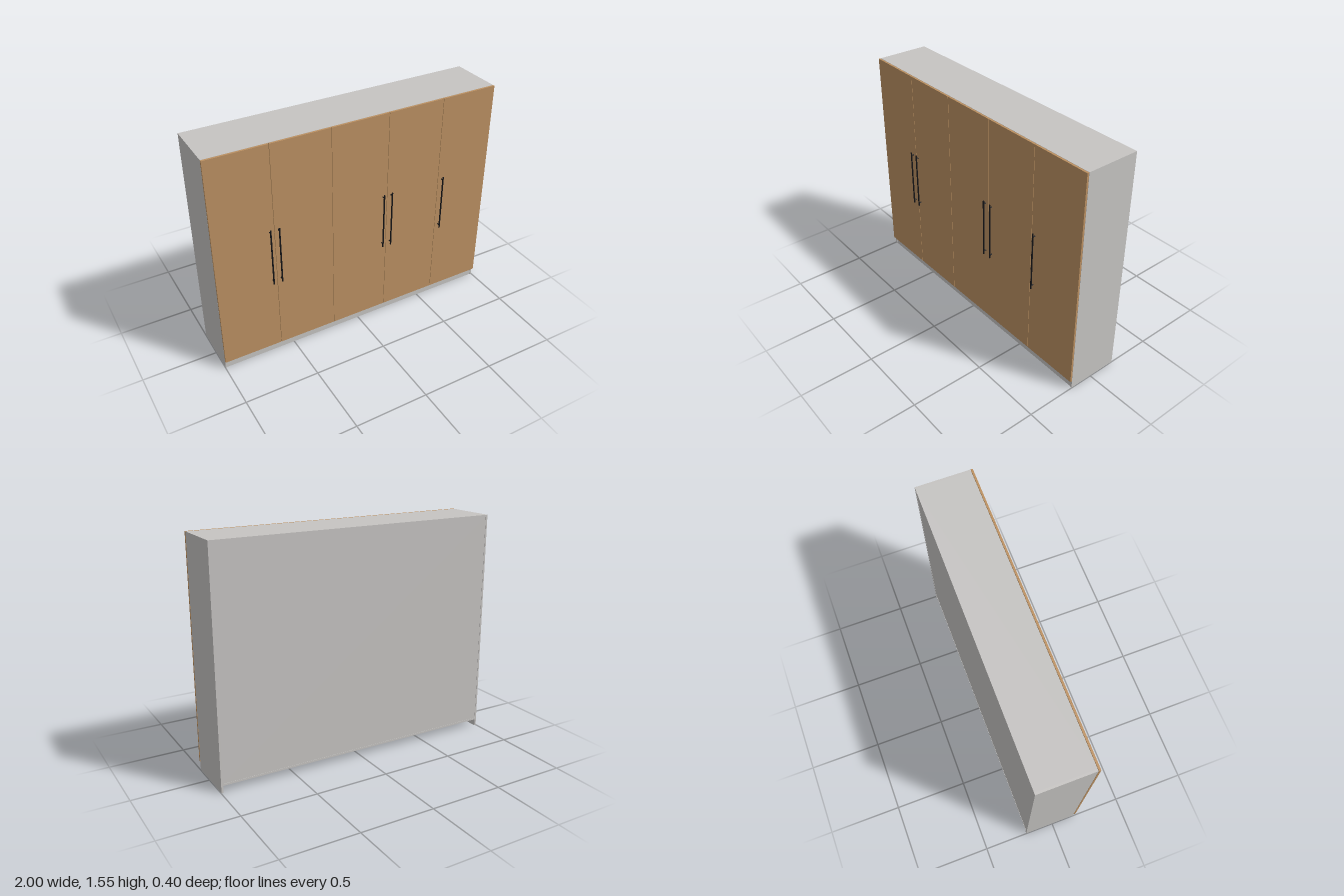
import * as THREE from 'three';

export function createModel() {
  const model = new THREE.Group();
  model.name = 'wardrobe';
  const material = (name, color) => {
    const m = new THREE.MeshStandardMaterial({ color });
    m.name = name;
    return m;
  };
  const grey = material('light grey board', 0xc6c4c2);
  const wood = material('oak', 0xbc9162);
  const black = material('black metal', 0x17171a);

  // Box given by its minimum and maximum on each axis
  const board = (name, mat, [x0, x1], [y0, y1], [z0, z1], parent = model) => {
    const mesh = new THREE.Mesh(new THREE.BoxGeometry(x1 - x0, y1 - y0, z1 - z0), mat);
    mesh.position.set((x0 + x1) / 2, (y0 + y1) / 2, (z0 + z1) / 2);
    mesh.name = name;
    parent.add(mesh);
  };

  // Carcass
  const H = 1.548, T = 0.013, back = -0.198, front = 0.162, inner = 0.998 - T;
  board('rightSide', grey, [-0.998, -inner], [0, H], [back, front]);
  board('leftSide', grey, [inner, 0.998], [0, H], [back, front]);
  board('topPanel', grey, [-inner, inner], [H - T, H], [back, front]);
  board('bottomPanel', grey, [-inner, inner], [0.047, 0.06], [back, front]);
  board('backPanel', grey, [-inner, inner], [0.06, H - T], [back + 0.002, back + 0.008]);
  board('plinth', grey, [-inner, inner], [0, 0.047], [front - 0.016, front - 0.003]);

  // Five doors, with a narrow gap between neighbours
  const gap = 0.003;
  for (let i = 0; i < 5; i++) {
    const x = -1 + i * 0.4;
    board('door' + (i + 1), wood, [x + gap / 2, x + 0.4 - gap / 2], [0.058, H], [0.164, 0.177]);
  }

  // Bar handles, each on two short posts
  const rod = (name, radius, length, parent) => {
    const mesh = new THREE.Mesh(new THREE.CylinderGeometry(radius, radius, length, 16), black);
    mesh.name = name;
    parent.add(mesh);
    return mesh;
  };
  for (const x of [-0.632, -0.574, 0.169, 0.229, 0.629]) {
    const handle = new THREE.Group();
    handle.name = 'handle';
    handle.position.set(x, 0.777, 0.195);
    rod('handleBar', 0.005, 0.405, handle);
    for (const side of [-1, 1]) {
      const post = rod('handlePost', 0.004, 0.018, handle);
      post.rotation.x = Math.PI / 2;
      post.position.set(0, side * 0.181, -0.009);
    }
    model.add(handle);
  }
  return model;
}
